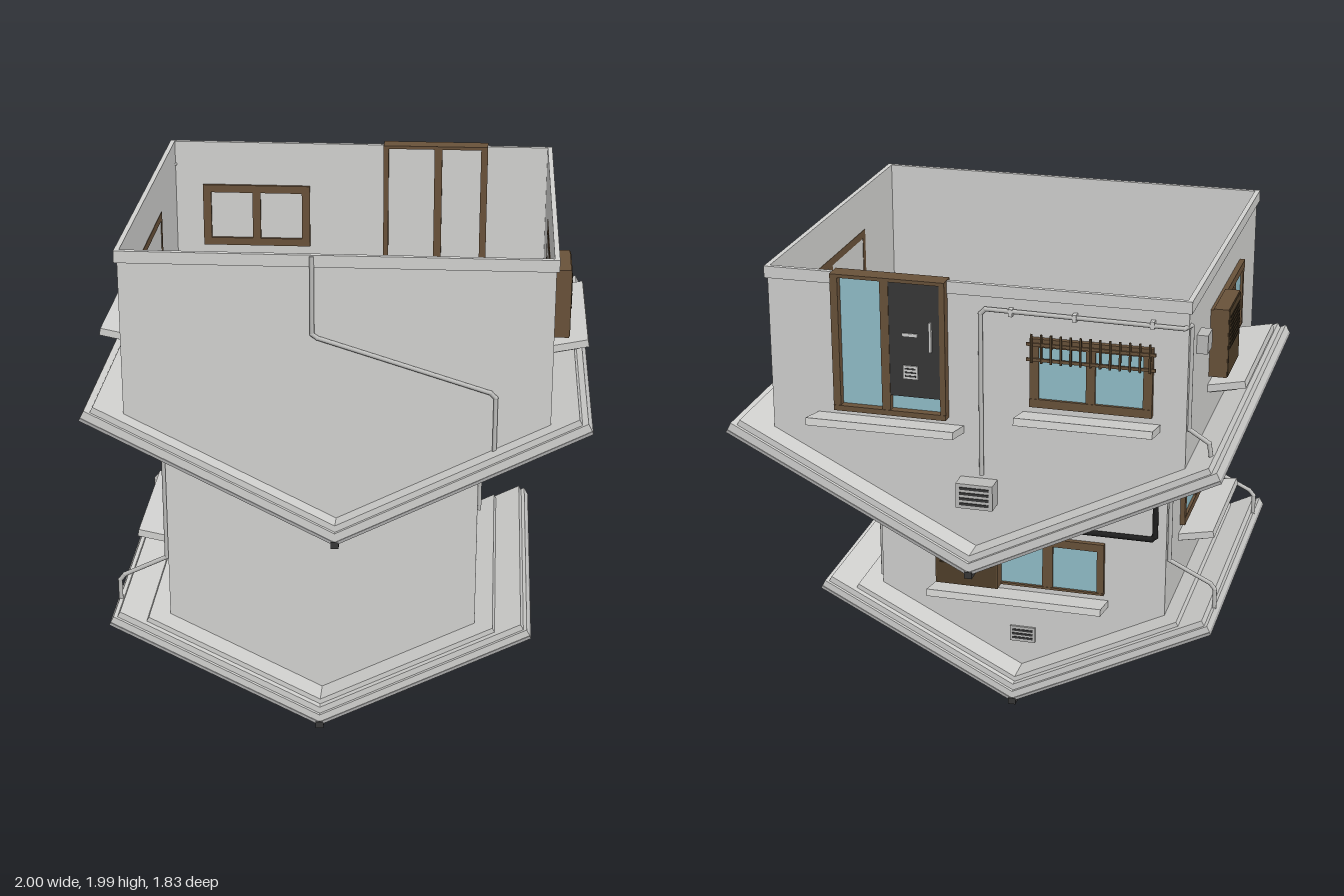
import * as THREE from 'three';

export function createModel() {
  const root = new THREE.Group();
  const mat = (name, color) => Object.assign(new THREE.MeshStandardMaterial({ color }), { name });
  const plaster = mat('plaster', 0xd2d2d0);
  const metal = mat('roofMetal', 0xaaaaaa);
  const black = mat('black', 0x1e1e1e);
  const wood = mat('wood', 0x69523a);
  const darkWood = mat('darkWood', 0x503f2a);
  const slatBrown = mat('slatBrown', 0x33281a);
  const glass = mat('glass', 0x92bfca);
  const darkGrey = mat('darkGrey', 0x383838);
  const pipeGrey = mat('pipeGrey', 0xbcbcba);

  const add = (parent, name, geo, m, x = 0, y = 0, z = 0) => {
    const mesh = new THREE.Mesh(geo, m);
    mesh.name = name;
    mesh.position.set(x, y, z);
    parent.add(mesh);
    return mesh;
  };
  // box given by its limits
  const box = (parent, name, m, x0, x1, y0, y1, z0, z1) =>
    add(parent, name, new THREE.BoxGeometry(x1 - x0, y1 - y0, z1 - z0), m,
      (x0 + x1) / 2, (y0 + y1) / 2, (z0 + z1) / 2);
  const prism = (parent, name, m, pts, z0, z1) => {
    const shape = new THREE.Shape(pts.map(p => new THREE.Vector2(p[0], p[1])));
    return add(parent, name, new THREE.ExtrudeGeometry(shape, { depth: z1 - z0, bevelEnabled: false }), m, 0, 0, z0);
  };
  const group = (name, x = 0, y = 0, z = 0, ry = 0) => {
    const g = new THREE.Group();
    g.name = name;
    g.position.set(x, y, z);
    g.rotation.y = ry;
    root.add(g);
    return g;
  };

  // straight pipe runs with round elbows
  function pipe(name, pts, r = 0.009, m = pipeGrey) {
    const g = group(name);
    const v = pts.map(p => new THREE.Vector3(...p));
    for (let i = 1; i < v.length; i++) {
      const d = v[i].clone().sub(v[i - 1]);
      const c = add(g, 'pipeRun', new THREE.CylinderGeometry(r, r, d.length(), 10), m);
      c.position.copy(v[i]).add(v[i - 1]).multiplyScalar(0.5);
      c.quaternion.setFromUnitVectors(new THREE.Vector3(0, 1, 0), d.normalize());
      if (i < v.length - 1) add(g, 'elbow', new THREE.SphereGeometry(r * 1.1, 10, 8), m, ...pts[i]);
    }
  }

  // inverted gable roof: V-shaped layers with seams on the underside
  const ang = Math.atan(0.51), cs = Math.cos(ang), sn = Math.sin(ang);
  function roof(name, xc, y0, L, z0, z1, layers, seams) {
    const g = group(name);
    const end = (s, o) => [s * cs - o * sn, y0 + s * sn + o * cs];
    for (const [label, m, a, b, cut, zin] of layers) {
      const p = end(L - cut, a), q = end(L - cut, b);
      prism(g, label, m, [
        [xc, y0 + a / cs], [xc + p[0], p[1]], [xc + q[0], q[1]],
        [xc, y0 + b / cs], [xc - q[0], q[1]], [xc - p[0], p[1]],
      ], z0 + zin, z1 - zin);
    }
    for (const side of [-1, 1]) {
      for (const z of seams) {
        const e = end(L / 2 - 0.005, -0.003);
        const s = add(g, 'seam', new THREE.BoxGeometry(L - 0.01, 0.012, 0.022), darkGrey, xc + side * e[0], e[1], z);
        s.rotation.z = side * ang;
      }
    }
    box(g, 'ridgeCap', darkGrey, xc - 0.016, xc + 0.016, y0 - 0.012, y0 + 0.016, z0 - 0.003, z1 + 0.003);
  }
  const seamRow = (start, step, n) => Array.from({ length: n }, (_, i) => start - i * step);
  roof('upperRoof', 0, 0.805, 1.12, -0.873, 0.868, [
    ['metalSheet', metal, 0, 0.012, 0, 0],
    ['roofSlab', plaster, 0.012, 0.045, 0, 0.004],
    ['roofStep', plaster, 0.045, 0.07, 0.025, 0.018],
  ], seamRow(0.79, 0.142, 12));
  roof('lowerRoof', -0.06, 0.012, 0.95, -0.44, 0.915, [
    ['metalSheet', metal, 0, 0.012, 0, 0],
    ['roofSlab', plaster, 0.012, 0.04, 0, 0.004],
    ['roofStep', plaster, 0.04, 0.065, 0.015, 0.018],
    ['innerStep', plaster, 0.065, 0.085, 0.13, 0.045],
  ], seamRow(0.82, 0.163, 8));

  // lower storey, closed and flat on top
  const lower = group('lowerStorey');
  prism(lower, 'lowerWalls', plaster,
    [[-0.68, 0.39], [-0.06, 0.08], [0.56, 0.39], [0.56, 1.15], [-0.68, 1.15]], -0.275, 0.764);

  // upper storey, open at the top
  const upper = group('upperStorey');
  const gable = [[-0.836, 1.27], [0, 0.85], [0.836, 1.27], [0.836, 1.97], [-0.836, 1.97]];
  prism(upper, 'frontWall', plaster, gable, 0.768, 0.777);
  prism(upper, 'backWall', plaster, gable, -0.755, -0.746);
  for (const s of [-1, 1]) {
    box(upper, 'sideWall', plaster, s * 0.8315 - 0.0045, s * 0.8315 + 0.0045, 1.26, 1.97, -0.746, 0.768);
    box(upper, 'sideTrim', plaster, s * 0.837 - 0.01, s * 0.837 + 0.01, 1.937, 1.985, -0.764, 0.787);
  }
  box(upper, 'frontTrim', plaster, -0.827, 0.827, 1.937, 1.985, 0.767, 0.787);
  box(upper, 'backTrim', plaster, -0.827, 0.827, 1.937, 1.985, -0.764, -0.744);

  // window pieces: local +z points out of the wall, y = 0 is the bottom;
  // posts are [centre, width] pairs
  function frame(g, w, h, bottom, top, posts, back, front = 0.02) {
    box(g, 'frameBottom', wood, -w / 2, w / 2, 0, bottom, back, front);
    box(g, 'frameTop', wood, -w / 2, w / 2, h - top, h, back, front);
    for (const [x, t] of posts)
      box(g, 'framePost', wood, x - t / 2, x + t / 2, bottom, h - top, back, front - 0.002);
    box(g, 'glassPane', glass, -w / 2 + 0.01, w / 2 - 0.01, bottom, h - top, 0.002, 0.008);
  }
  function sill(g, w, y = -0.04, x = 0) {
    const s = add(g, 'sill', new THREE.BoxGeometry(w, 0.03, 0.156), plaster, x, y + 0.01, 0.073);
    s.rotation.x = -0.2;
    const b = add(g, 'sillBase', new THREE.BoxGeometry(w - 0.04, 0.02, 0.11), plaster, x, y - 0.008, 0.055);
    b.rotation.x = -0.2;
  }
  function shutterWindow(name, x, y, z, ry, w, h) {
    const g = group(name, x, y, z, ry);
    const sw = w * 0.38, x0 = -w / 2;
    frame(g, w, h, 0.01, 0.034, [[x0 + 0.015, 0.03], [0.163 * w, 0.045], [-x0 - 0.015, 0.03]], -0.013);
    box(g, 'shutter', wood, x0, x0 + sw, 0, h + 0.004, 0.01, 0.07);
    box(g, 'shutterFace', darkWood, x0 + 0.004, x0 + sw - 0.004, 0.004, h, 0.07, 0.074);
    for (let i = 0; i < 8; i++) {
      const yy = h * 0.42 + i * h * 0.065;
      box(g, 'louvreGap', slatBrown, x0 + 0.02, x0 + sw - 0.02, yy, yy + 0.006, 0.074, 0.077);
    }
    sill(g, w + 0.035);
  }
  function barredWindow(name, x, y, z, ry, w, h) {
    const g = group(name, x, y, z, ry);
    frame(g, w, h, 0.034, 0.034, [[-w / 2 + 0.018, 0.036], [0, 0.036], [w / 2 - 0.018, 0.036]], -0.025);
    for (const yy of [h * 0.68, h * 0.9])
      box(g, 'barRail', wood, -w / 2 - 0.012, w / 2 + 0.012, yy, yy + 0.012, 0.018, 0.026);
    for (let i = 0; i < 13; i++) {
      const xx = -w / 2 + 0.01 + i * (w - 0.02) / 12;
      box(g, 'bar', darkWood, xx - 0.004, xx + 0.004, h * 0.66, h + 0.02, 0.022, 0.031);
    }
    sill(g, w + 0.06);
  }
  shutterWindow('rightWindow', 0.838, 1.52, 0.038, Math.PI / 2, 0.675, 0.28);
  shutterWindow('leftWindow', -0.838, 1.52, 0.038, -Math.PI / 2, 0.675, 0.28);
  shutterWindow('lowerBackWindow', -0.06, 0.49, -0.277, Math.PI, 0.72, 0.235);
  barredWindow('upperBackWindow', -0.465, 1.51, -0.757, Math.PI, 0.48, 0.28);
  barredWindow('lowerLeftWindow', -0.682, 0.71, 0.285, -Math.PI / 2, 0.53, 0.3);

  // tall back door with a dark sliding panel and a wide ledge
  const door = group('backDoor', 0.335, 1.425, -0.757, Math.PI);
  frame(door, 0.46, 0.563, 0.022, 0.014, [[-0.215, 0.03], [-0.012, 0.034], [0.219, 0.022]], -0.035, 0.042);
  box(door, 'slidingPanel', darkGrey, 0.005, 0.208, 0.085, 0.549, 0.012, 0.037);
  box(door, 'panelVent', plaster, 0.06, 0.12, 0.16, 0.215, 0.037, 0.043);
  for (let i = 0; i < 3; i++)
    box(door, 'panelVentSlot', darkGrey, 0.068, 0.112, 0.17 + i * 0.015, 0.176 + i * 0.015, 0.043, 0.045);
  box(door, 'panelPlate', plaster, 0.06, 0.12, 0.335, 0.347, 0.037, 0.041);
  box(door, 'handle', plaster, 0.168, 0.178, 0.28, 0.4, 0.037, 0.05);
  sill(door, 0.6, -0.04, -0.01);

  // drain pipes on the walls
  pipe('frontPipe', [[-0.09, 1.98, 0.785], [-0.09, 1.665, 0.785], [-0.07, 1.65, 0.785],
    [0.6, 1.44, 0.785], [0.62, 1.42, 0.785], [0.62, 1.18, 0.785]]);
  pipe('rightPipe', [[0.567, 1.1, 0.46], [0.567, 0.945, 0.46], [0.567, 0.925, 0.44],
    [0.567, 0.805, -0.23], [0.567, 0.785, -0.252], [0.567, 0.45, -0.252]]);
  pipe('upperLeftPipe', [[-0.84, 1.88, -0.72], [-0.84, 1.46, -0.72], [-0.92, 1.41, -0.72], [-0.933, 1.33, -0.72]]);
  for (const z of [-0.25, 0.74])
    pipe('lowerLeftPipe', [[-0.69, 1.13, z], [-0.69, 0.67, z], [-0.865, 0.585, z], [-0.885, 0.56, z], [-0.885, 0.46, z]]);
  pipe('backPipe', [[-0.84, 1.88, -0.72], [-0.82, 1.88, -0.77], [-0.05, 1.89, -0.77],
    [-0.03, 1.87, -0.77], [-0.03, 1.2, -0.77]]);
  pipe('blackPipe', [[0.46, 0.775, -0.293], [-0.62, 0.775, -0.293], [-0.635, 0.79, -0.293], [-0.635, 1.13, -0.293]], 0.012, black);

  // wall fixtures
  const fixtures = group('wallFixtures');
  box(fixtures, 'ventBox', pipeGrey, -0.09, 0.06, 1.075, 1.18, -0.83, -0.755);
  for (let i = 0; i < 4; i++)
    box(fixtures, 'ventSlot', darkGrey, -0.075, 0.045, 1.09 + i * 0.022, 1.1 + i * 0.022, -0.834, -0.829);
  box(fixtures, 'meterBox', pipeGrey, -0.88, -0.836, 1.72, 1.795, -0.59, -0.5);
  box(fixtures, 'pipeBox', pipeGrey, 0.44, 0.51, 0.745, 0.82, -0.31, -0.275);
  box(fixtures, 'wallGrille', pipeGrey, -0.12, -0.01, 0.22, 0.29, -0.284, -0.275);
  for (let i = 0; i < 3; i++)
    box(fixtures, 'grilleSlot', darkGrey, -0.11, -0.02, 0.233 + i * 0.018, 0.242 + i * 0.018, -0.287, -0.283);
  for (const x of [-0.7, -0.4, -0.15])
    box(fixtures, 'pipeClamp', plaster, x - 0.008, x + 0.008, 1.87, 1.9, -0.782, -0.755);

  return root;
}
